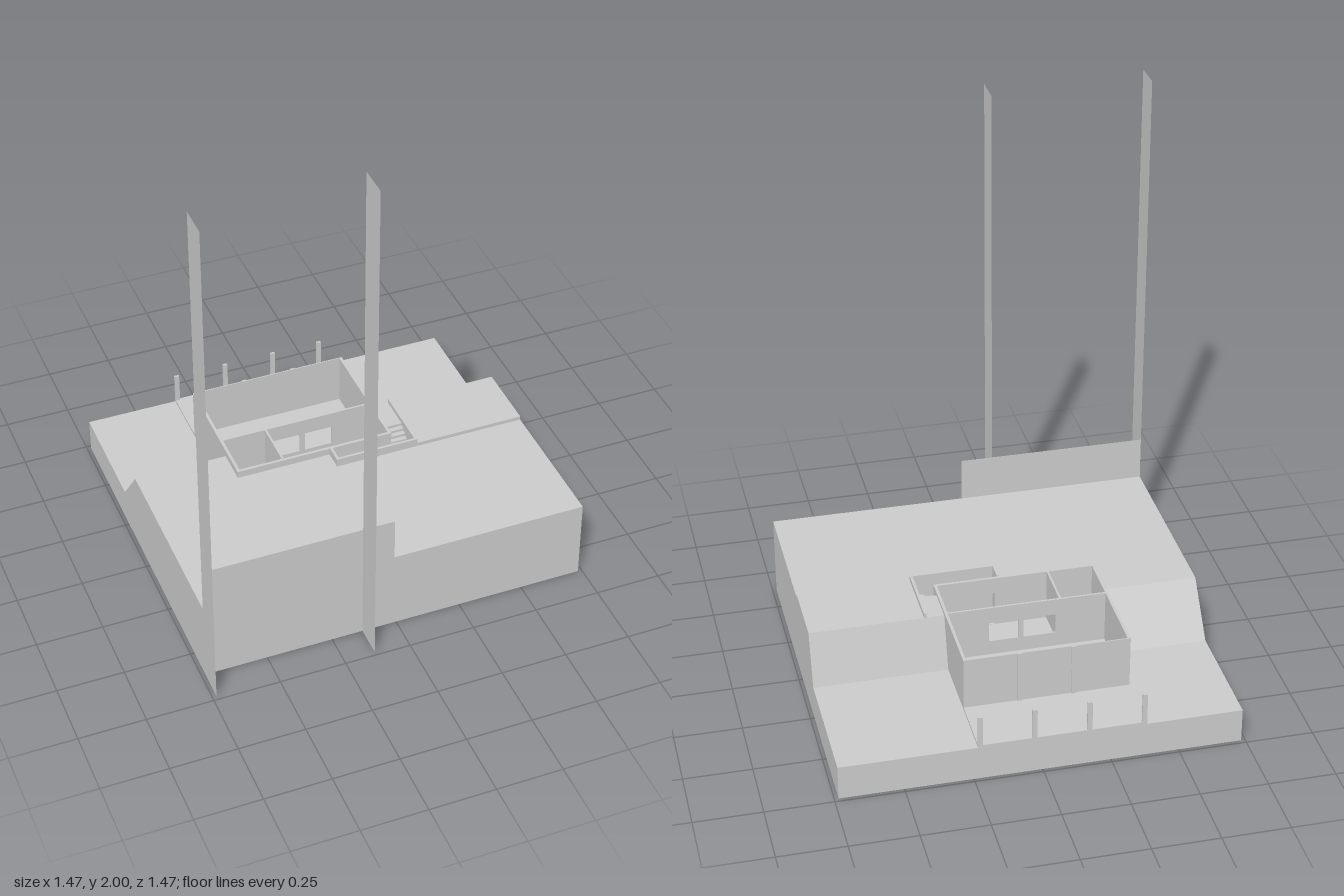
import * as THREE from 'three';

export function createModel() {
  const model = new THREE.Group();
  const mat = new THREE.MeshStandardMaterial({ color: 0xcccccc, flatShading: true });
  const thinMat = new THREE.MeshStandardMaterial({ color: 0xcccccc, side: THREE.DoubleSide });

  const add = (name, geo, material = mat) => {
    const mesh = new THREE.Mesh(geo, material);
    mesh.name = name;
    model.add(mesh);
    return mesh;
  };
  // Box given by its limits on each axis
  const box = (name, x0, x1, y0, y1, z0, z1) => add(name,
    new THREE.BoxGeometry(x1 - x0, y1 - y0, z1 - z0)
      .translate((x0 + x1) / 2, (y0 + y1) / 2, (z0 + z1) / 2));
  const shapeOf = pts => new THREE.Shape(pts.map(p => new THREE.Vector2(p[0], p[1])));
  // Ground strip: (z, y) profile extruded from x0 to x1
  const strip = (name, x0, x1, pts) => add(name,
    new THREE.ExtrudeGeometry(shapeOf(pts), { depth: x1 - x0, bevelEnabled: false })
      .rotateY(-Math.PI / 2).translate(x1, 0, 0));
  // Wall across x with rectangular openings [x0, x1, y0, y1]
  const wall = (name, x0, x1, y0, y1, z0, z1, openings) => {
    const s = shapeOf([[x0, y0], [x1, y0], [x1, y1], [x0, y1]]);
    for (const [a, b, c, d] of openings)
      s.holes.push(new THREE.Path([[a, c], [a, d], [b, d], [b, c]].map(p => new THREE.Vector2(...p))));
    add(name, new THREE.ExtrudeGeometry(s, { depth: z1 - z0, bevelEnabled: false }).translate(0, 0, z0));
  };

  const E = 0.735, F = 0.617;               // plot edge, street front
  const HIGH = 0.317, LOW = 0.133, TERRACE = 0.332, FLOOR = 0.142, TOP = 0.345;
  const L = -0.38, R = 0.235;               // house sides
  const PIT0 = -0.015, PIT1 = 0.31, PITZ = 0.075;

  // Sloping plot, in strips across x
  const front = [[-E, 0], [F, 0], [F, HIGH]];
  strip('groundRight', -E, L, [...front, [-0.135, HIGH], [-0.285, LOW], [-E, LOW]]);
  strip('groundBehindHouse', L, PIT0, [...front, [0, HIGH], [0, LOW], [-E, LOW]]);
  strip('groundAtStairs', PIT0, R, [...front, [PITZ, HIGH], [PITZ, LOW], [-E, LOW]]);
  strip('groundAtPath', R, PIT1, [...front, [PITZ, HIGH], [PITZ, LOW], [-0.054, LOW],
    [-0.054, TERRACE], [-0.188, TERRACE], [-0.248, LOW], [-E, LOW]]);
  strip('groundLeft', PIT1, E, [...front, [PITZ, HIGH], [PITZ, TERRACE],
    [-0.188, TERRACE], [-0.248, LOW], [-E, LOW]]);

  // Street wall and tall upright sheets
  add('streetWall', new THREE.PlaneGeometry(0.725, 0.487 - HIGH)
    .translate(-E + 0.3625, (0.487 + HIGH) / 2, F), thinMat);
  for (const x of [-E, -0.132])
    add('tallFin', new THREE.PlaneGeometry(E - F, 2).rotateY(Math.PI / 2)
      .translate(x, 1, (E + F) / 2), thinMat);

  // House floor and patio
  box('floorSlab', L, R, LOW, FLOOR, -E, 0);

  // House walls, open at the top
  const T = 0.011;
  box('sideWall', L, L + T, FLOOR, TOP, -0.503, 0);
  box('sideWall', R - T, R, FLOOR, TOP, -0.503, 0);
  wall('frontWall', L + T, R - T, FLOOR, TOP, -T, 0, [[0.003, 0.05, FLOOR + 0.001, 0.28]]);
  wall('partitionWall', L + T, R - T, FLOOR, TOP, -0.2, -0.192,
    [[-0.18, -0.06, 0.2, 0.28], [-0.04, 0.07, 0.2, 0.28]]);
  box('roomDivider', -0.202, -0.194, FLOOR, TOP, -0.192, -T);
  box('backPanel', L + T, R - T, FLOOR, TOP, -0.503, -0.499);

  // Columns on the back panel and along the patio edge
  for (const x of [-0.17, 0.03]) box('panelColumn', x - 0.009, x + 0.009, FLOOR, TOP, -0.508, -0.499);
  for (const x of [-0.371, -0.17, 0.03, 0.226])
    box('patioColumn', x - 0.009, x + 0.009, FLOOR, 0.26, -E, -0.726);

  // Retaining walls around the stairwell
  const W = 0.01, RIM = 0.35;
  box('stairFrontWall', PIT0, PIT1, LOW, RIM, PITZ - W, PITZ);
  box('stairEndWall', PIT0, PIT0 + W, LOW, RIM, 0, PITZ - W);
  box('stairSideWall', PIT1 - W, PIT1, LOW, RIM, -0.188, PITZ - W);

  // Stairs: straight flight, winders, short flight
  const rise = (TERRACE - FLOOR) / 17, w = PITZ - W, run = (R - 0.06) / 9;
  let y = FLOOR;
  box('stairLanding', PIT0 + W, 0.06, LOW, y, 0, w);
  for (let i = 0; i < 9; i++) {
    y += rise;
    box('step', 0.06 + i * run, 0.06 + (i + 1) * run, LOW, y, 0, w);
  }
  const rimPts = [[0, w], [0.41 * w, w], [w, w], [w, 0.41 * w], [w, 0]];
  for (let i = 0; i < 4; i++) {
    y += rise;
    const [a, b] = [rimPts[i], rimPts[i + 1]];
    add('winderStep', new THREE.ExtrudeGeometry(shapeOf([[0, 0], [a[0], -a[1]], [b[0], -b[1]]]),
      { depth: y - LOW, bevelEnabled: false }).rotateX(-Math.PI / 2).translate(R, LOW, 0));
  }
  for (let i = 0; i < 3; i++) {
    y += rise;
    box('step', R, PIT1 - W, LOW, y, -(i + 1) * 0.018, -i * 0.018);
  }
  return model;
}
